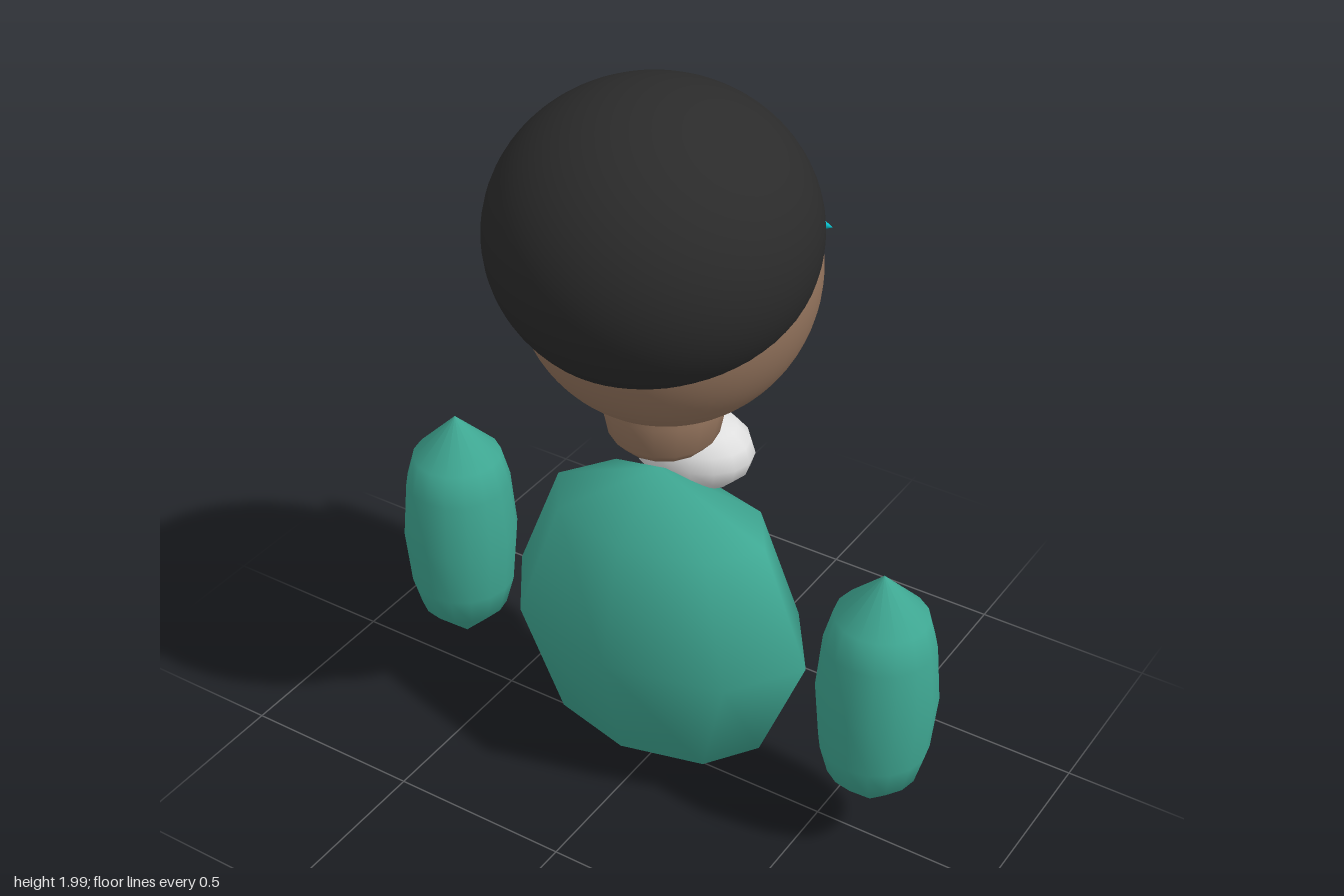
import * as THREE from 'three';

const material = (name, color) => {
  const m = new THREE.MeshStandardMaterial({ color });
  m.name = name;
  return m;
};

export function createModel() {
  const model = new THREE.Group();
  model.name = 'figure';
  const teal = material('teal cloth', 0x3fa893);
  const skin = material('brown skin', 0x94745d);
  const black = material('black hair', 0x2b2b2b);
  const white = material('white scarf', 0xdedede);
  const cyan = material('cyan visor', 0x08c2ce);

  const add = (name, geometry, mat, x, y, z) => {
    const mesh = new THREE.Mesh(geometry, mat);
    mesh.name = name;
    mesh.position.set(x, y, z);
    model.add(mesh);
    return mesh;
  };
  // Ellipsoid with baked scale, so the normals stay smooth
  const ellipsoid = (rx, ry, rz, across, down) =>
    new THREE.SphereGeometry(1, across, down).scale(rx, ry, rz);
  // Profile points are [radius, height], listed upwards
  const lathe = (points, sides) =>
    new THREE.LatheGeometry(points.map(([r, y]) => new THREE.Vector2(r, y)), sides);

  // Faceted body and spindle arms
  add('body', ellipsoid(0.445, 0.465, 0.27, 8, 4), teal, 0, 0.473, 0);
  const armProfile = [[0, -0.365], [0.12, -0.245], [0.143, -0.16], [0.157, 0],
    [0.143, 0.16], [0.12, 0.245], [0, 0.365]];
  for (const side of [-1, 1]) {
    add(side > 0 ? 'leftArm' : 'rightArm', lathe(armProfile, 16), teal, side * 0.65, 0.495, 0);
  }

  // Neck tapering to a point, with the scarf knot beside it
  add('neck', lathe([[0, 0.97], [0.115, 1.02], [0.142, 1.05], [0.16, 1.14], [0.14, 1.24]], 16),
    skin, 0, 0, -0.022);
  add('scarf', ellipsoid(0.17, 0.107, 0.132, 16, 8), white, 0, 0.917, -0.163);

  // Round head, with the hair as a larger ball set back over it
  add('head', ellipsoid(0.373, 0.385, 0.385, 64, 40), skin, 0, 1.5, -0.04);
  add('hair', ellipsoid(0.405, 0.37, 0.412, 64, 40), black, 0, 1.63, 0.026);

  // Visor: a pointed bar lying along x, bent around the face
  const bar = lathe([[0, -0.25], [0.034, -0.18], [0.042, -0.09], [0.043, 0],
    [0.042, 0.09], [0.034, 0.18], [0, 0.25]], 16);
  bar.rotateZ(Math.PI / 2).scale(1, 1, 0.65);
  const p = bar.attributes.position;
  for (let i = 0; i < p.count; i++) p.setZ(i, p.getZ(i) + 0.15 * p.getX(i) ** 2);
  add('visor', bar, cyan, 0, 1.515, -0.412);

  return model;
}
